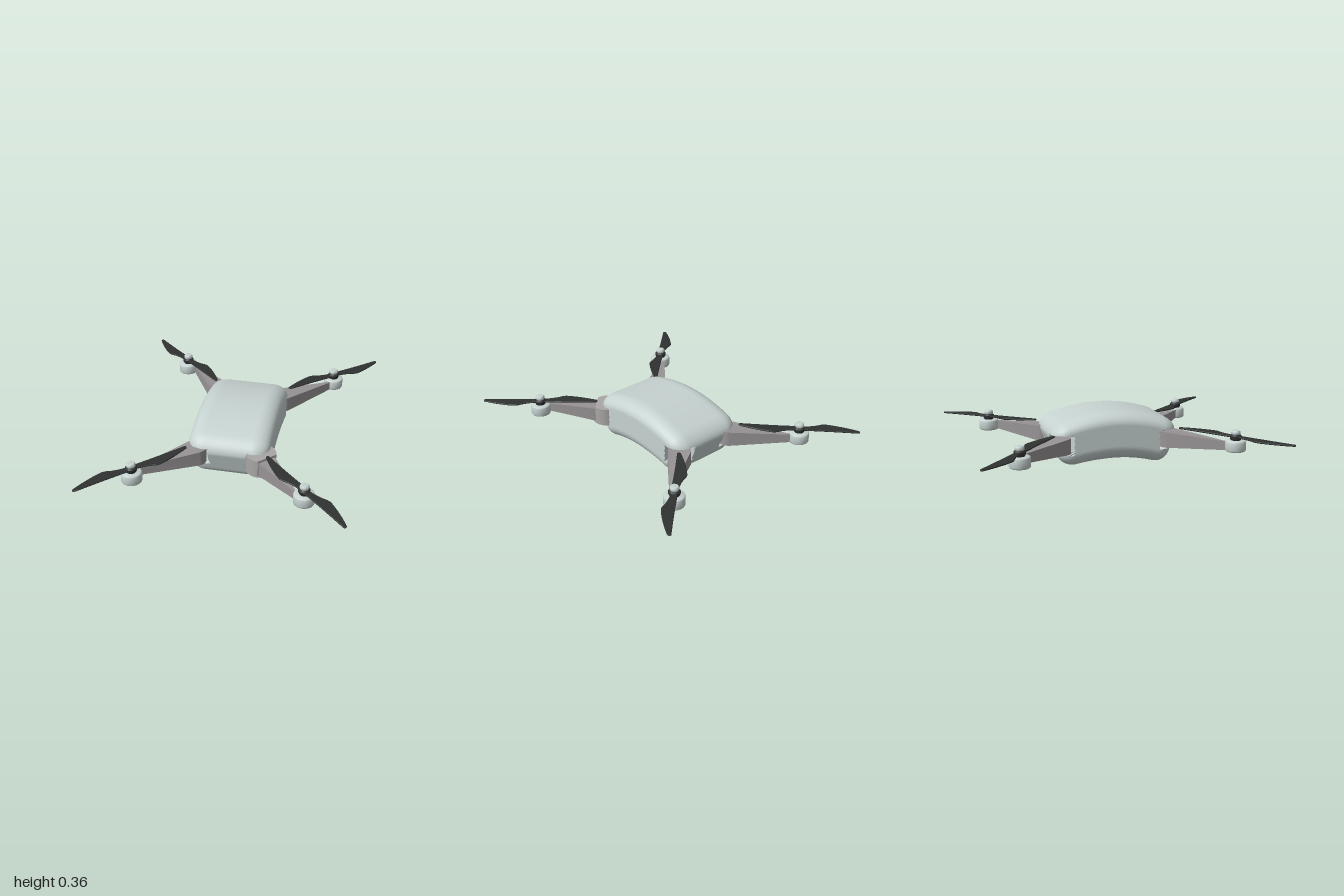
import * as THREE from 'three';
import { toCreasedNormals } from 'three/addons/utils/BufferGeometryUtils.js';

const mat = (color) => new THREE.MeshStandardMaterial({ color, side: THREE.DoubleSide });
const shellMat = mat(0xc6d2d0), armMat = mat(0x989496), bracketMat = mat(0xaaa6a6), propMat = mat(0x303232);

const MOTOR = { x: 0.55, z: 0.713 }; // motor axis
const PIVOT = { x: 0.221, z: 0.384 }; // arm hinge axis
const REACH = 0.465; // hinge to motor
const HINGE_R = 0.1, HINGE_LOW = 0.1, HINGE_HIGH = 0.225;

function part(name, geometry, material) {
  const mesh = new THREE.Mesh(geometry, material);
  mesh.name = name;
  return mesh;
}

function lathe(points) {
  const g = new THREE.LatheGeometry(points.map(([r, y]) => new THREE.Vector2(r, y)), 40);
  return toCreasedNormals(g, 0.7);
}

// Apply a rule to every vertex
function reshape(geometry, rule) {
  const pos = geometry.attributes.position, p = new THREE.Vector3();
  for (let i = 0; i < pos.count; i++) {
    p.fromBufferAttribute(pos, i);
    rule(p);
    pos.setXYZ(i, p.x, p.y, p.z);
  }
  return toCreasedNormals(geometry, 0.7);
}

// Rounded box bent into a shallow arch, with a round hinge pocket at each corner
function bodyGeometry() {
  const hx = 0.27, hy = 0.16, hz = 0.405, rx = 0.11, rz = 0.1;
  const g = new THREE.BoxGeometry(hx * 2, hy * 2, hz * 2, 60, 44, 90);
  const clamp = THREE.MathUtils.clamp;
  return reshape(g, (p) => {
    // round the edges
    const ry = p.y < 0 ? 0.1 : 0.08;
    const ix = clamp(p.x, rx - hx, hx - rx);
    const iy = clamp(p.y, 0.1 - hy, hy - 0.08);
    const iz = clamp(p.z, rz - hz, hz - rz);
    const d = new THREE.Vector3((p.x - ix) / rx, (p.y - iy) / ry, (p.z - iz) / rz).normalize();
    p.set(ix + d.x * rx, iy + d.y * ry, iz + d.z * rz);
    // bend the ends down and lean them inwards below
    const v = p.y / hy;
    const k = p.z > 0 ? 0.5 + 0.1 * v : 0.43 + 0.17 * v;
    const z = p.z;
    p.z = z * (1 + 0.75 * p.y);
    p.y += 0.2 - k * z * z;
    // sink the hinge pockets
    if (p.y > HINGE_LOW && p.y < HINGE_HIGH) {
      const sx = Math.sign(p.x), sz = Math.sign(p.z);
      const qx = p.x * sx - PIVOT.x, qz = p.z * sz - PIVOT.z;
      const gap = HINGE_R ** 2 - qx * qx - qz * qz;
      if (gap > 0) {
        const along = -(qx + qz) * Math.SQRT1_2;
        const t = (Math.sqrt(along * along + gap) - along) * Math.SQRT1_2;
        p.x -= sx * t;
        p.z -= sz * t;
      }
    }
  });
}

// Arm along local x: round at the hinge, tapering in plan and height to the motor
function armGeometry() {
  const s = new THREE.Shape();
  const a = Math.PI / 2 - 0.09;
  s.moveTo(-0.02, 0.03);
  s.absarc(-REACH, 0, 0.075, a, Math.PI * 2 - a, false);
  s.lineTo(-0.02, -0.03);
  s.closePath();
  const g = new THREE.ExtrudeGeometry(s, { depth: 1, bevelEnabled: false, curveSegments: 24 });
  g.rotateX(-Math.PI / 2);
  return reshape(g, (p) => {
    const t = THREE.MathUtils.clamp((p.x + REACH) / REACH, 0, 1);
    p.y = p.y > 0.5 ? 0.212 - 0.025 * t : 0.108 + 0.027 * t;
  });
}

// Swept blade with one broad shoulder; hand is +1 or -1
function bladeGeometry(hand) {
  const s = new THREE.Shape();
  s.moveTo(0, -0.02 * hand);
  s.lineTo(0.06, -0.02 * hand);
  s.quadraticCurveTo(0.2, -0.012 * hand, 0.395, -0.01 * hand);
  s.quadraticCurveTo(0.41, 0.002 * hand, 0.395, 0.014 * hand);
  s.quadraticCurveTo(0.28, 0.055 * hand, 0.18, 0.067 * hand);
  s.quadraticCurveTo(0.155, 0.068 * hand, 0.135, 0.055 * hand);
  s.quadraticCurveTo(0.08, 0.026 * hand, 0, 0.02 * hand);
  const g = new THREE.ExtrudeGeometry(s, {
    depth: 0.004, bevelEnabled: true, bevelThickness: 0.003, bevelSize: 0.003,
    bevelOffset: -0.003, bevelSegments: 1, curveSegments: 10,
  });
  g.rotateX(Math.PI / 2);
  return toCreasedNormals(g, 0.6);
}

function propeller(hand) {
  const prop = new THREE.Group();
  prop.name = 'propeller';
  for (const turn of [0, Math.PI]) {
    const blade = part('blade', bladeGeometry(hand), propMat);
    blade.rotation.y = turn;
    prop.add(blade);
  }
  prop.position.y = 0.223;
  prop.rotation.z = -0.035;
  return prop;
}

// Hinge bracket: three-quarter drum standing on a round floor
function bracket() {
  const group = new THREE.Group();
  group.name = 'hingeBracket';
  const s = new THREE.Shape();
  s.moveTo(0, 0);
  s.absarc(0, 0, HINGE_R, 0, Math.PI * 1.5, false);
  s.closePath();
  const g = new THREE.ExtrudeGeometry(s, {
    depth: HINGE_HIGH - HINGE_LOW, bevelEnabled: false, curveSegments: 36,
  });
  g.rotateX(-Math.PI / 2);
  const drum = part('bracketDrum', toCreasedNormals(g, 0.7), bracketMat);
  drum.position.y = HINGE_LOW;
  const floor = part('bracketFloor', new THREE.CylinderGeometry(HINGE_R, HINGE_R, 0.008, 48), bracketMat);
  floor.position.y = HINGE_LOW + 0.004;
  group.add(drum, floor);
  group.position.set(PIVOT.x - 0.004, 0, PIVOT.z);
  return group;
}

export function createModel() {
  const model = new THREE.Group();
  model.name = 'quadcopter';
  model.add(part('body', bodyGeometry(), shellMat), bracket());

  const arm = armGeometry();
  const motor = lathe([[0, 0.126], [0.058, 0.126], [0.065, 0.13], [0.068, 0.138],
    [0.068, 0.188], [0.065, 0.196], [0.058, 0.2], [0, 0.2]]);
  const hub = lathe([[0, 0.195], [0.03, 0.195], [0.038, 0.212], [0.038, 0.228], [0.028, 0.238], [0, 0.238]]);
  const cap = lathe([[0, 0.236], [0.026, 0.236], [0.03, 0.241], [0.03, 0.255], [0.024, 0.263], [0, 0.266]]);

  // One arm, motor and propeller at each corner, local x pointing outwards
  for (const sx of [1, -1]) {
    for (const sz of [1, -1]) {
      const corner = new THREE.Group();
      corner.name = (sz > 0 ? 'front' : 'back') + (sx > 0 ? 'Left' : 'Right') + 'Rotor';
      corner.position.set(sx * MOTOR.x, 0, sz * MOTOR.z);
      corner.rotation.y = Math.atan2(-sz, sx);
      corner.add(
        part('arm', arm, armMat),
        part('motor', motor, shellMat),
        part('propellerHub', hub, propMat),
        part('hubCap', cap, shellMat),
        propeller(-sx * sz),
      );
      model.add(corner);
    }
  }
  return model;
}
